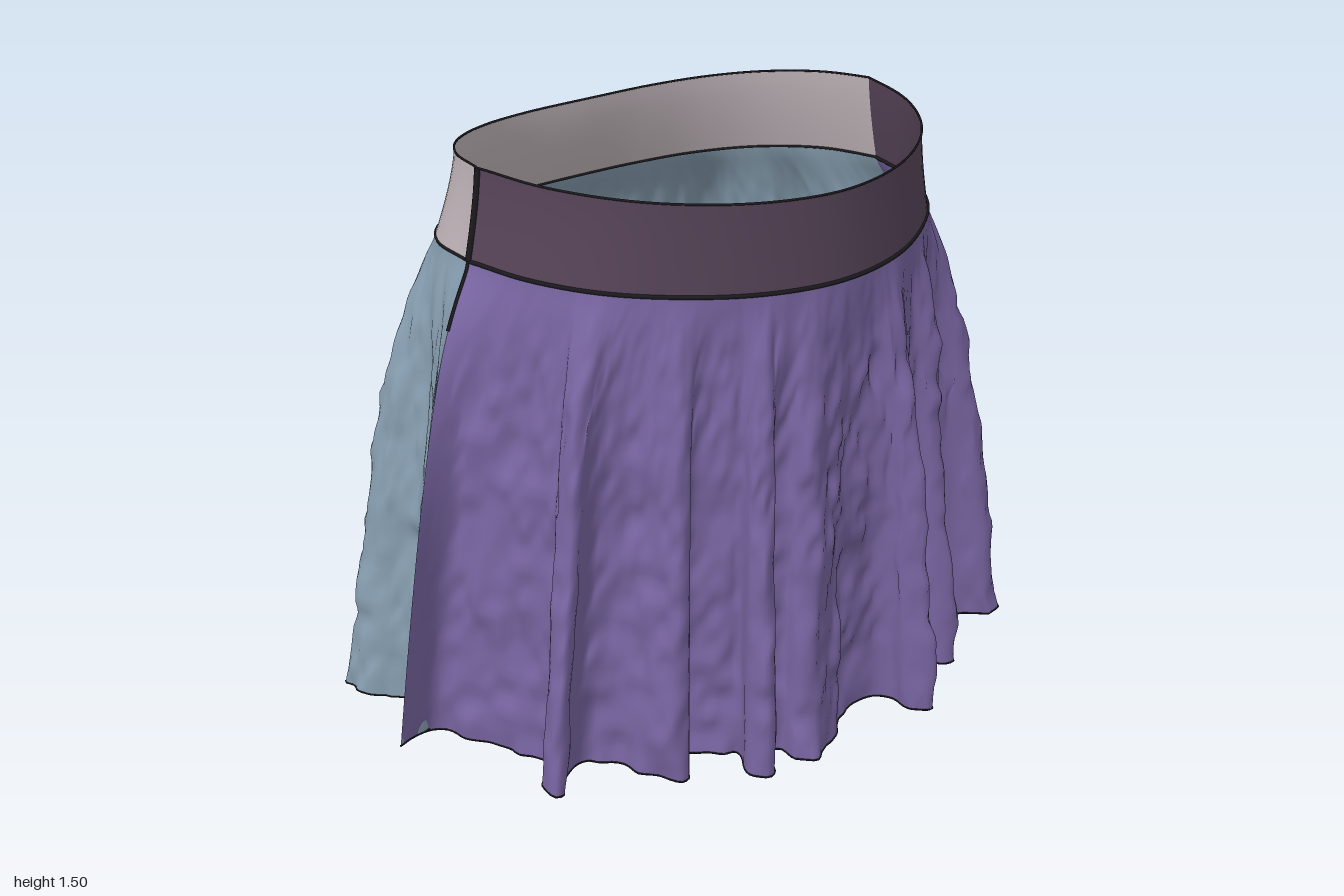
import * as THREE from 'three';

const COLS = 290, ROWS = 60;
const SHIFT = -0.01; // the waist sits slightly off the hem's middle
const mat = (name, color) => new THREE.MeshStandardMaterial({ name, color, side: THREE.DoubleSide });
const lerp = THREE.MathUtils.lerp;

// plan curve (x, z) through flat pairs
function planCurve(flat) {
  const pts = [];
  for (let i = 0; i < flat.length; i += 2) pts.push(new THREE.Vector3(flat[i], 0, flat[i + 1]));
  const c = new THREE.CatmullRomCurve3(pts);
  c.arcLengthDivisions = 1200;
  return c;
}
// waist half list from the seam to the middle, mirrored in x; dir is the sign of x at the start
function mirrored(flat, dir) {
  const a = [], b = [];
  for (let i = 0; i < flat.length; i += 2) {
    a.push(dir * flat[i] + SHIFT, flat[i + 1]);
    if (i < flat.length - 2) b.unshift(-dir * flat[i] + SHIFT, flat[i + 1]);
  }
  return planCurve([...a, ...b]);
}

// smooth seeded noise for the crumpled cloth
const hash = (x, y) => {
  const s = Math.sin(x * 127.1 + y * 311.7) * 43758.5453;
  return s - Math.floor(s);
};
function noise(x, y) {
  const i = Math.floor(x), j = Math.floor(y);
  const f = x - i, g = y - j, u = f * f * (3 - 2 * f), v = g * g * (3 - 2 * g);
  return lerp(lerp(hash(i, j), hash(i + 1, j), u), lerp(hash(i, j + 1), hash(i + 1, j + 1), u), v) - 0.5;
}

function named(name, geometry, material) {
  const m = new THREE.Mesh(geometry, material);
  m.name = name;
  return m;
}

// grid surface: columns run left to right seen from outside, rows run downward
function sheet(name, cols, rows, at, material) {
  const pos = [], idx = [];
  for (let j = 0; j <= rows; j++)
    for (let i = 0; i <= cols; i++) pos.push(...at(i, j / rows));
  for (let j = 0; j < rows; j++)
    for (let i = 0; i < cols; i++) {
      const a = j * (cols + 1) + i, c = a + cols + 1;
      idx.push(a, c, a + 1, a + 1, c, c + 1);
    }
  const g = new THREE.BufferGeometry();
  g.setAttribute('position', new THREE.Float32BufferAttribute(pos, 3));
  g.setIndex(idx);
  g.computeVertexNormals();
  return named(name, g, material);
}

// thin stitched edge through count + 1 points
function piping(name, count, at, radius, material) {
  const pts = Array.from({ length: count + 1 }, (_, i) => new THREE.Vector3(...at(i)));
  return named(name, new THREE.TubeGeometry(new THREE.CatmullRomCurve3(pts), count, radius, 5), material);
}

// moving average that keeps both ends fixed
function smooth(pts, w) {
  const n = pts.length - 1;
  return pts.map((p, i) => {
    const k = Math.min(w, i, n - i), s = new THREE.Vector3();
    for (let q = i - k; q <= i + k; q++) s.add(pts[q]);
    return s.divideScalar(2 * k + 1);
  });
}

// hem outlines with their folds
const FRONT_HEM = [
  -1, 0.12, -0.93, 0.07, -0.84, 0.04, -0.79, 0.12, -0.72, 0.26, -0.71, 0.36, -0.79, 0.42, -0.8, 0.49, -0.76, 0.48,
  -0.72, 0.42, -0.62, 0.37, -0.55, 0.42, -0.52, 0.54, -0.5, 0.59, -0.45, 0.58, -0.44, 0.5, -0.4, 0.47, -0.32, 0.52,
  -0.28, 0.57, -0.32, 0.65, -0.3, 0.7, -0.26, 0.69, -0.25, 0.61, -0.18, 0.62, -0.18, 0.67, -0.14, 0.7, -0.1, 0.68,
  -0.05, 0.65, 0, 0.62, 0.05, 0.57, 0.12, 0.56, 0.2, 0.56, 0.23, 0.61, 0.22, 0.66, 0.27, 0.72, 0.29, 0.68,
  0.28, 0.58, 0.36, 0.49, 0.42, 0.47, 0.46, 0.55, 0.5, 0.56, 0.51, 0.5, 0.49, 0.42, 0.58, 0.35, 0.68, 0.38,
  0.74, 0.45, 0.79, 0.44, 0.78, 0.38, 0.71, 0.33, 0.72, 0.25, 0.77, 0.16, 0.8, 0.05, 0.87, 0.04, 0.94, 0.06, 1, 0.08];
const BACK_HEM = [
  1, 0.08, 0.92, 0.05, 0.82, 0.02, 0.78, -0.05, 0.76, -0.15, 0.79, -0.22, 0.84, -0.28, 0.85, -0.37, 0.8, -0.37,
  0.72, -0.29, 0.65, -0.35, 0.6, -0.42, 0.62, -0.52, 0.68, -0.61, 0.64, -0.65, 0.52, -0.6, 0.4, -0.57, 0.25, -0.6,
  0.16, -0.64, 0.1, -0.69, 0.02, -0.7, -0.02, -0.66, 0, -0.59, -0.06, -0.59, -0.08, -0.67, -0.14, -0.71, -0.19, -0.7,
  -0.22, -0.63, -0.32, -0.62, -0.4, -0.59, -0.47, -0.64, -0.57, -0.65, -0.6, -0.6, -0.56, -0.5, -0.6, -0.44,
  -0.68, -0.38, -0.72, -0.31, -0.8, -0.28, -0.87, -0.31, -0.9, -0.27, -0.88, -0.2, -0.82, -0.15, -0.81, -0.05,
  -0.84, 0.03, -0.93, 0.07, -1, 0.12];

// waist outlines, seam to middle
const FRONT_TOP = [0.64, 0.025, 0.6, 0.2, 0.515, 0.35, 0.4, 0.465, 0.22, 0.565, 0, 0.608];
const FRONT_LOW = [0.675, 0.025, 0.635, 0.2, 0.545, 0.355, 0.41, 0.475, 0.22, 0.575, 0, 0.615];
const BACK_TOP = [0.64, 0.025, 0.595, -0.13, 0.5, -0.255, 0.37, -0.33, 0.21, -0.365, 0, -0.37];
const BACK_LOW = [0.675, 0.025, 0.635, -0.16, 0.53, -0.305, 0.38, -0.39, 0.2, -0.425, 0, -0.433];

function buildHalf(side, s, bandMaterial, clothMaterial, seamMaterial) {
  const group = new THREE.Group();
  group.name = side + 'Half';
  const front = s > 0;
  const top = mirrored(front ? FRONT_TOP : BACK_TOP, -s);
  const low = mirrored(front ? FRONT_LOW : BACK_LOW, -s);
  const drop = z => Math.pow(Math.abs(z - 0.025) / (front ? 0.59 : 0.455), 1.4);
  const topY = z => 1.505 - (front ? 0.045 : 0.035) * drop(z);
  const lowY = z => 1.277 - (front ? 0.041 : 0.03) * drop(z);

  // waistband with its stitched edges
  const n = 64;
  const band = (i, v) => {
    const a = top.getPointAt(i / n), b = low.getPointAt(i / n), k = Math.pow(v, 1.4);
    return [lerp(a.x, b.x, k), lerp(topY(a.z), lowY(b.z), v), lerp(a.z, b.z, k)];
  };
  group.add(sheet(side + 'Waistband', n, 8, band, bandMaterial));
  group.add(piping(side + 'WaistSeam', n, i => band(i, 1), front ? 0.0055 : 0.004, seamMaterial));
  group.add(piping(side + 'TopEdge', n, i => band(i, 0), 0.003, seamMaterial));

  // gathered cloth: eases out of the waist, flares, and deepens its folds toward the hem
  const hem = planCurve(front ? FRONT_HEM : BACK_HEM).getSpacedPoints(COLS);
  const mean = smooth(smooth(hem, 20), 20);
  const run = [0];
  for (let i = 1; i <= COLS; i++) run.push(run[i - 1] + mean[i].distanceTo(mean[i - 1]));
  const waist = run.map(r => low.getPointAt(Math.min(1, r / run[COLS])));
  const cloth = (i, t) => {
    const w = waist[i], m = mean[i], h = hem[i], u = i / COLS;
    const edge = Math.max(0, Math.sin(Math.PI * u)), ease = 1 - Math.exp(-18 * t);
    const flare = Math.pow(t, 0.6 - (front ? 0 : 0.16) * edge) * ease;
    const fold = Math.pow(t, 0.72) * ease;
    const hemY = front ? 0.01 + 0.09 * h.x ** 4 : 0.05 + 0.05 * h.x ** 8;
    const crumple = Math.min(1, edge * 6) * Math.min(1, t * 4)
      * (0.024 * noise(u * 62 + s * 9, t * 9) + 0.018 * noise(u * 120, t * 24 + s * 5));
    const out = new THREE.Vector3(m.x, 0, m.z).normalize().multiplyScalar(crumple);
    return [
      w.x + (m.x - w.x) * flare + (h.x - m.x) * fold + out.x,
      lerp(lowY(w.z), hemY, t),
      w.z + (m.z - w.z) * flare + (h.z - m.z) * fold + out.z];
  };
  group.add(sheet(side + 'Cloth', COLS, ROWS, cloth, clothMaterial));
  group.add(piping(side + 'HemEdge', COLS, i => cloth(i, 1), 0.0025, seamMaterial));

  // side seam: wide on the waistband, thinner where it runs onto the cloth
  const end = front ? 0 : 1;
  group.add(piping(side + 'BandSideSeam', 8, i => band(end * n, i / 8), 0.009, seamMaterial));
  group.add(piping(side + 'ClothSideSeam', 8, i => cloth(end * COLS, i / 8 * 0.13), 0.005, seamMaterial));
  return group;
}

export function createModel() {
  const model = new THREE.Group();
  model.name = 'skirt';
  const plum = mat('plumBand', 0x554357);
  const pale = mat('paleBand', 0xbeb3b8);
  const violet = mat('violetCloth', 0x7764a0);
  const blue = mat('blueCloth', 0x859cae);
  const dark = mat('darkSeam', 0x1c1a1e);
  model.add(buildHalf('front', 1, plum, violet, dark), buildHalf('back', -1, pale, blue, dark));
  return model;
}
